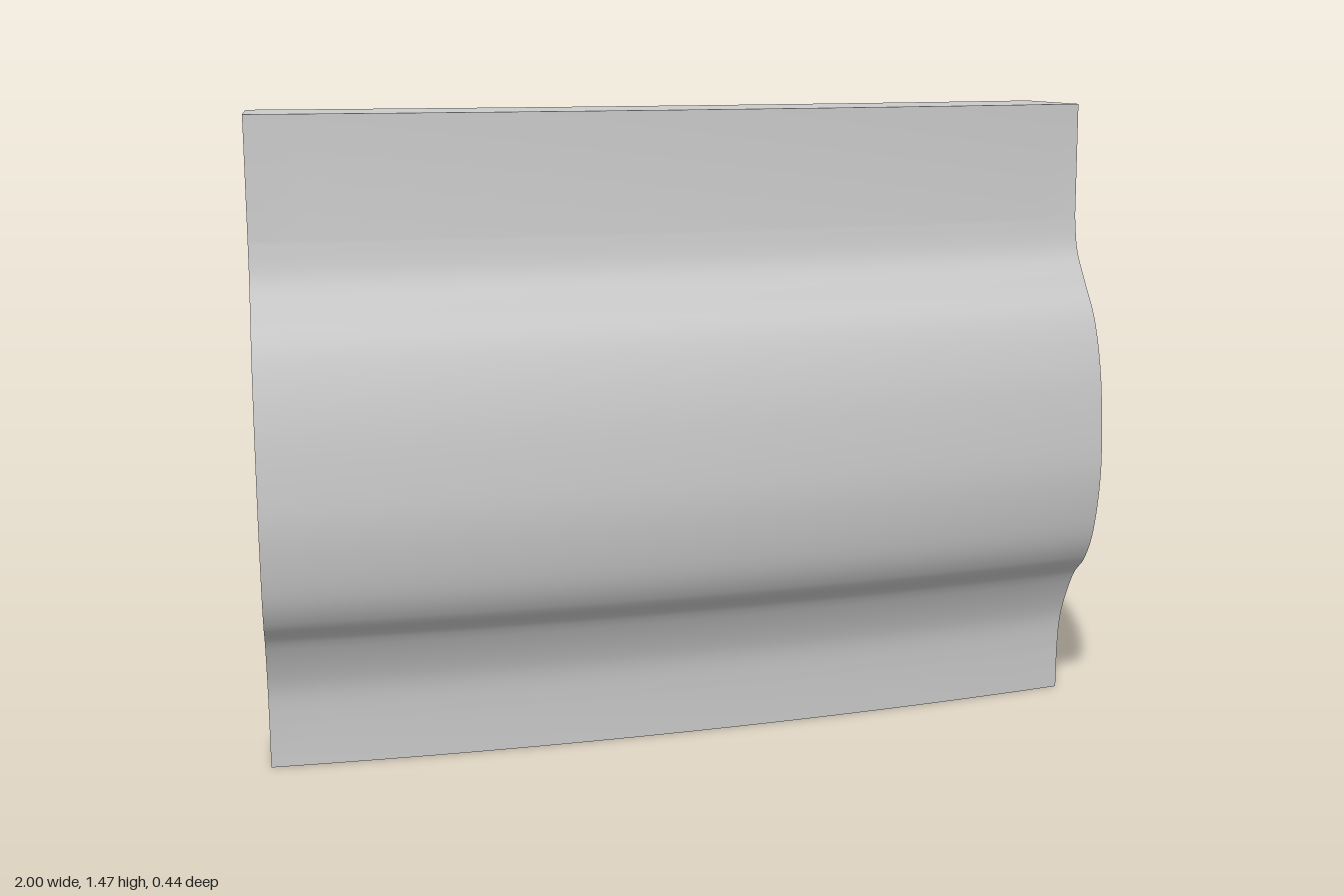
import * as THREE from 'three';
import { toCreasedNormals } from 'three/addons/utils/BufferGeometryUtils.js';

const RADIUS = 9.8;      // bend radius of the moulding
const HALF_ANGLE = 0.1;  // half of the arc it spans
const HEIGHT = 1.47;

const vec = (points) => points.map(([z, y]) => new THREE.Vector2(z, y));

// Cross-section: x is the depth (front positive), y is the height
function profile() {
  const s = new THREE.Shape();
  s.moveTo(0.06, 0);
  // front face, bottom to top
  s.lineTo(0.06, 0.1);
  s.splineThru(vec([[0.071, 0.198], [0.118, 0.31], [0.165, 0.365], [0.198, 0.44], [0.218, 0.56], [0.219, 0.673],
    [0.203, 0.83], [0.168, 0.958], [0.12, 1.045], [0.08, 1.12], [0.065, 1.2]]));
  s.lineTo(0.06, HEIGHT);
  // rounded top bead
  s.lineTo(-0.169, HEIGHT);
  s.lineTo(-0.169, 1.41);
  s.bezierCurveTo(-0.165, 1.34, -0.125, 1.303, -0.052, 1.3);
  // hollow back face, top to bottom
  s.lineTo(-0.052, 1.2);
  s.splineThru(vec([[-0.032, 1.12], [0.01, 1.043], [0.05, 0.965], [0.085, 0.83], [0.102, 0.673], [0.103, 0.58],
    [0.089, 0.459], [0.05, 0.362], [-0.004, 0.276], [-0.04, 0.198], [-0.057, 0.128]]));
  s.lineTo(-0.058, 0.087);
  // rounded bottom bead
  s.lineTo(-0.075, 0.087);
  s.bezierCurveTo(-0.105, 0.085, -0.122, 0.062, -0.122, 0.03);
  s.lineTo(-0.122, 0);
  s.closePath();
  return s;
}

export function createModel() {
  const group = new THREE.Group();
  group.name = 'curvedMoulding';

  const geometry = new THREE.ExtrudeGeometry(profile(), {
    depth: 1, steps: 16, curveSegments: 5, bevelEnabled: false,
  });

  // Bend the straight extrusion around a vertical axis behind it
  const p = geometry.attributes.position;
  for (let i = 0; i < p.count; i++) {
    const r = RADIUS + p.getX(i);
    const a = (1 - 2 * p.getZ(i)) * HALF_ANGLE;
    p.setXYZ(i, Math.sin(a) * r, p.getY(i), Math.cos(a) * r - RADIUS);
  }

  const moulding = new THREE.Mesh(
    toCreasedNormals(geometry, 0.6),
    new THREE.MeshStandardMaterial({ color: 0xcccccc }),
  );
  moulding.name = 'mouldingPanel';
  group.add(moulding);
  return group;
}
